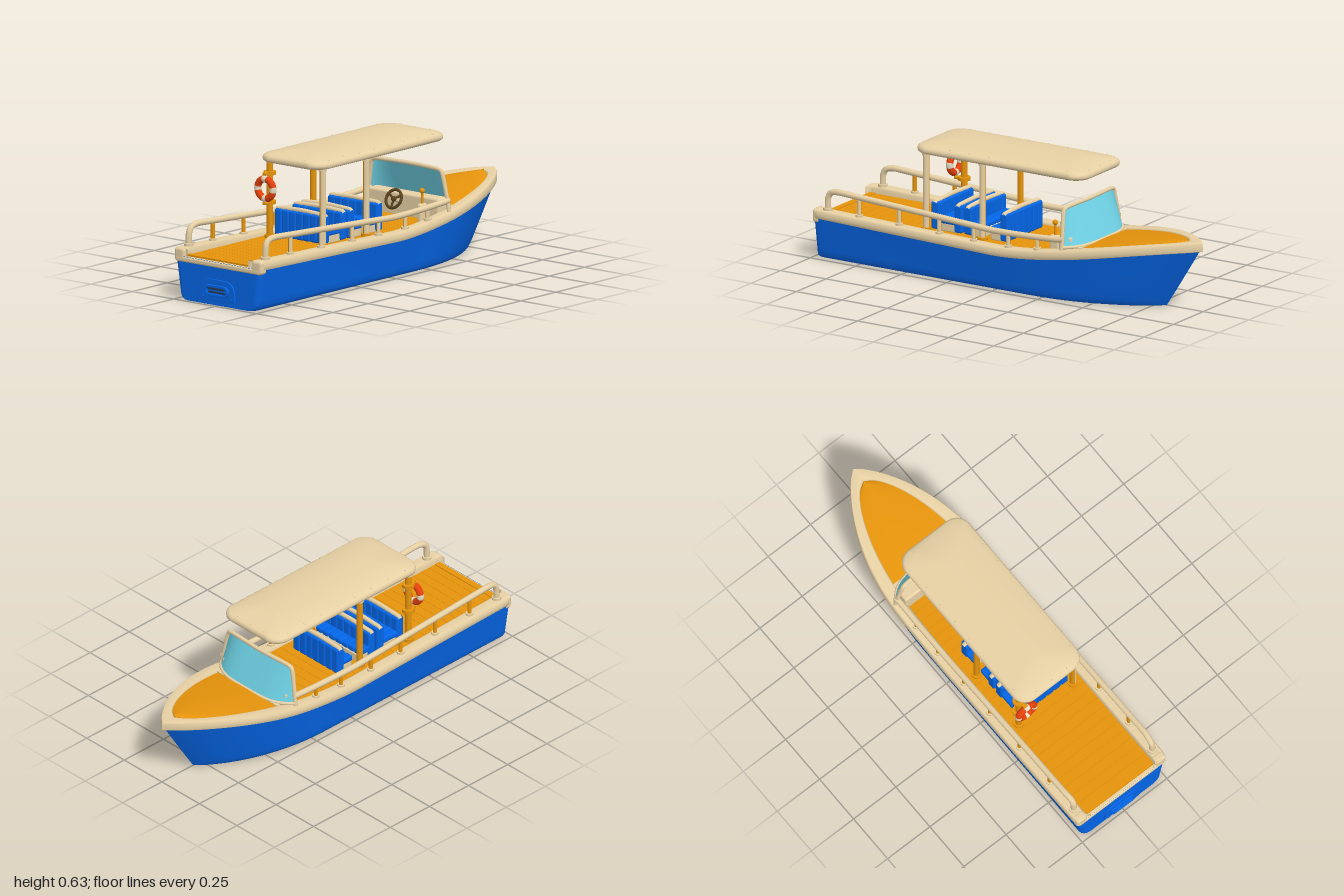
import * as THREE from 'three';
import { mergeVertices } from 'three/addons/utils/BufferGeometryUtils.js';
import { RoundedBoxGeometry } from 'three/addons/geometries/RoundedBoxGeometry.js';

const mat = (name, color) => {
  const m = new THREE.MeshStandardMaterial({ color, side: THREE.DoubleSide });
  m.name = name;
  return m;
};
const V = (x, y, z) => new THREE.Vector3(x, y, z);
const lerp = THREE.MathUtils.lerp;

// Smooth surface from a rule f(u, v) -> [x, y, z] on an integer grid
function grid(nu, nv, f) {
  const pos = [], idx = [];
  for (let i = 0; i <= nu; i++) for (let j = 0; j <= nv; j++) pos.push(...f(i, j));
  for (let i = 0; i < nu; i++) for (let j = 0; j < nv; j++) {
    const a = i * (nv + 1) + j, b = a + nv + 1;
    idx.push(a, b, a + 1, b, b + 1, a + 1);
  }
  let g = new THREE.BufferGeometry();
  g.setAttribute('position', new THREE.Float32BufferAttribute(pos, 3));
  g.setIndex(idx);
  g = mergeVertices(g, 1e-5);
  g.computeVertexNormals();
  return g;
}

// Hull lines: sheer height along z, and relative beam along t (0 stern, 1 bow)
const STERN = 0.98;
const sheer = z => z > 0 ? 0.218 + 0.024 * z : 0.218 + 0.112 * THREE.MathUtils.smoothstep(-z, 0, 1);
const stations = [0, 0.001, 0.004, 0.008, 0.015];
for (let i = 1; i <= 60; i++) stations.push(0.015 + 0.985 * i / 60);
const beam = (t, power = 0.85) => {
  const q = Math.max(0, (t - 0.65) / 0.35), e = Math.max(0, 1 - t / 0.015);
  return Math.max(0, 1 - q ** 2.2) ** power * (1 - 0.1 * (1 - Math.sqrt(1 - e * e)));
};

export function createModel() {
  const blue = mat('hull blue', 0x0469ee), cream = mat('cream', 0xecd5a8), wood = mat('deck wood', 0xe5930b),
    red = mat('buoy red', 0xe8420c), white = mat('buoy white', 0xf2e6cc), glass = mat('glass', 0x74dcf0),
    brown = mat('bottom brown', 0x5a4220), dark = mat('dark slate', 0x2b3a4c);
  const boat = new THREE.Group();
  boat.name = 'boat';
  const add = (name, geo, m, x = 0, y = 0, z = 0, parent = boat) => {
    const mesh = new THREE.Mesh(geo, m);
    mesh.name = name;
    mesh.position.set(x, y, z);
    parent.add(mesh);
    return mesh;
  };
  const rbox = (w, h, d, r) => new RoundedBoxGeometry(w, h, d, 3, r);
  const cyl = (r, h, n = 16) => new THREE.CylinderGeometry(r, r, h, n);
  const tube = (pts, r, n = 48) => new THREE.TubeGeometry(new THREE.CatmullRomCurve3(pts, false, 'catmullrom', 0.3), n, r, 10);

  // Hull sides: half section as [half width, height share], rounded at the chine
  const half = [[0.2, 0], [0.214, 0.012], [0.226, 0.05], [0.234, 0.12], [0.238, 0.24], [0.25, 0.6], [0.264, 1]];
  const hullPoint = (s, w, h, t) => {
    const z = lerp(STERN, -0.8 - 0.185 * h, t);
    return [s * w * beam(t), h * (sheer(z) - 0.038), z];
  };
  const last = stations.length - 1;
  const side = grid(last, half.length - 1, (i, j) => hullPoint(1, ...half[j], stations[i]));
  for (const s of [1, -1]) add('hullSide', side, blue).scale.x = s;
  add('hullBottom', grid(last, 1, (i, j) => hullPoint(j * 2 - 1, 0.2, 0, stations[i])), brown);
  const outline = [...half.map(([w, h]) => hullPoint(1, w, h, 0)), ...half.map(([w, h]) => hullPoint(-1, w, h, 0)).reverse()];
  add('transom', new THREE.ShapeGeometry(new THREE.Shape(outline.map(p => new THREE.Vector2(p[0], p[1])))), blue, 0, 0, STERN);

  // Gunwale: rounded section as [inset share, height], swept from stern to bow
  const rim = [[0.05, -0.044], [-0.06, -0.04], [-0.09, -0.024], [-0.05, -0.008], [0.06, 0], [0.85, 0], [1, -0.007], [1, -0.04]];
  const rimGeo = grid(last, rim.length - 1, (i, j) => {
    const [a, dy] = rim[j], t = stations[i], inset = Math.max(0, a), z = lerp(STERN, -1 + 0.08 * inset, t);
    return [(0.263 - 0.06 * a) * beam(t, 0.85 - 0.2 * inset), sheer(z) + dy, z];
  });
  for (const s of [1, -1]) {
    add('gunwale', rimGeo, cream).scale.x = s;
    add('sternCorner', rbox(0.062, 0.066, 0.045, 0.015), cream, s * 0.233, 0.21, 0.961);
  }
  add('sternSill', rbox(0.51, 0.028, 0.042, 0.01), cream, 0, 0.19, 0.963);
  add('deckLip', new THREE.BoxGeometry(0.4, 0.013, 0.03), wood, 0, 0.206, 0.95);

  // Aft deck of cross planks, and the raised foredeck
  add('deckBase', new THREE.BoxGeometry(0.41, 0.02, 1.4), wood, 0, 0.192, 0.25);
  for (let i = 0; i < 28; i++) add('deckPlank', new THREE.BoxGeometry(0.41, 0.006, 0.0485), wood, 0, 0.205, 0.924 - i * 0.05);
  add('foredeck', grid(24, 10, (i, j) => {
    const t = lerp(0.756, 1, i / 24), z = lerp(STERN, -0.92, t), v = 1 - j / 5;
    return [v * 0.207 * beam(t, 0.65), sheer(z) - 0.006 + 0.01 * (1 - v * v), z];
  }), wood);
  add('bulkhead', new THREE.BoxGeometry(0.4, 0.07, 0.02), cream, 0, 0.232, -0.447);
  add('dashboard', rbox(0.43, 0.115, 0.07, 0.012), cream, 0, 0.256, -0.377);

  // Wrapped windscreen with frame
  const low = s => [0.245 * s, 0.268, -0.385 - 0.075 * (1 - s ** 4)];
  const high = s => [0.205 * s, 0.448, -0.37 - 0.012 * (1 - s ** 4)];
  add('windscreen', grid(24, 1, (i, j) => (j ? high : low)(i / 12 - 1)), glass);
  const bar = f => Array.from({ length: 13 }, (_, i) => V(...f(i / 6 - 1)));
  add('windscreenSill', tube(bar(low), 0.008), cream);
  add('windscreenHoop', tube([V(-0.25, 0.23, -0.38), V(-0.24, 0.29, -0.38), V(-0.215, 0.422, -0.371), V(-0.19, 0.447, -0.372),
    V(0, 0.45, -0.382), V(0.19, 0.447, -0.372), V(0.215, 0.422, -0.371), V(0.24, 0.29, -0.38), V(0.25, 0.23, -0.38)], 0.01, 80), cream);

  // Helm: steering wheel and throttle
  const helm = new THREE.Group();
  helm.name = 'steeringWheel';
  helm.position.set(-0.02, 0.29, -0.3);
  helm.rotation.x = -0.45;
  boat.add(helm);
  add('wheelRim', new THREE.TorusGeometry(0.044, 0.007, 10, 32), brown, 0, 0, 0, helm);
  add('wheelHub', new THREE.SphereGeometry(0.013, 14, 10), brown, 0, 0, 0, helm);
  add('wheelColumn', cyl(0.009, 0.08), cream, 0, 0, -0.04, helm).rotation.x = Math.PI / 2;
  for (let i = 0; i < 3; i++) {
    const a = Math.PI / 6 + i * Math.PI * 2 / 3;
    add('wheelSpoke', new THREE.BoxGeometry(0.044, 0.009, 0.006), brown, 0.022 * Math.cos(a), 0.022 * Math.sin(a), 0, helm).rotation.z = a;
  }
  add('throttleBase', rbox(0.028, 0.09, 0.05, 0.01), cream, 0.16, 0.25, -0.29);
  add('throttleLever', cyl(0.006, 0.06), wood, 0.16, 0.325, -0.29);
  add('throttleKnob', new THREE.SphereGeometry(0.013, 14, 10), wood, 0.16, 0.355, -0.29);

  // Facing pairs of padded benches with ribbed backs and cream piping
  const bench = (z, dir) => {
    const g = new THREE.Group();
    g.name = 'bench';
    g.position.z = z;
    boat.add(g);
    add('benchBase', rbox(0.28, 0.045, 0.08, 0.008), cream, 0, 0.228, dir * 0.04, g);
    for (let i = 0; i < 7; i++) {
      const x = (i - 3) * 0.0425;
      add('backPad', rbox(0.0435, 0.132, 0.044, 0.01), blue, x, 0.278, 0, g);
      add('seatPad', rbox(0.0435, 0.03, 0.065, 0.01), blue, x, 0.26, dir * 0.045, g);
    }
    add('backPiping', tube([V(-0.147, 0.335, 0), V(-0.135, 0.344, 0), V(0, 0.35, 0), V(0.135, 0.344, 0), V(0.147, 0.335, 0)], 0.011), cream, 0, 0, 0, g);
  };
  bench(0.38, -1);
  bench(0.255, 1);
  bench(0.2, -1);
  bench(0, 1);

  // Canopy: stacked rounded-rectangle rings as [inset, height], closed at both ends
  const rings = [[0.19, 0.58], [0.03, 0.578], [0.01, 0.575], [0.002, 0.581], [0, 0.591], [0.003, 0.602], [0.012, 0.609],
    [0.04, 0.615], [0.08, 0.622], [0.13, 0.627], [0.19, 0.629]];
  add('canopy', grid(rings.length - 1, 64, (i, j) => {
    const [inset, y] = rings[i], r = Math.max(0, 0.075 - inset * 0.395);
    const a = (j % 64) / 64 * Math.PI * 2 + Math.PI / 64, c = Math.cos(a), s = Math.sin(a);
    const w = Math.max(0, 0.19 - inset - r), d = Math.max(0, 0.468 - inset - r);
    return [Math.sign(c) * w + r * c, y, 0.016 + Math.sign(s) * d + r * s];
  }), cream);
  const rivet = new THREE.SphereGeometry(0.004, 8, 6);
  for (const s of [1, -1]) {
    for (let i = 0; i < 8; i++) add('canopyRivet', rivet, cream, s * 0.17, 0.611, 0.39 - i * 0.107);
    for (const x of [-0.09, 0, 0.09]) add('canopyRivet', rivet, cream, x, 0.611, 0.016 + s * 0.447);
  }

  // Upright whose inboard half is wood; on the right side it is wood all round
  const upright = (name, r, h, s, x, y, z) => {
    add(name + 'Outer', new THREE.CylinderGeometry(r, r, h, 8, 1, false, 0, Math.PI), s > 0 ? cream : wood, x, y, z);
    add(name + 'Inner', new THREE.CylinderGeometry(r, r, h, 8, 1, false, Math.PI, Math.PI), wood, x, y, z);
  };

  // Canopy posts, and side rails with stanchions
  const railY = z => z > 0 ? 0.288 + 0.055 * z : 0.288 + 0.1 * z * z;
  for (const s of [1, -1]) {
    for (const z of [0.42, 0.11]) {
      upright('canopyPost', 0.015, 0.375, s, s * 0.16, 0.392, z);
      add('postFoot', cyl(0.025, 0.014), wood, s * 0.16, 0.214, z);
      add('postHead', cyl(0.02, 0.012), cream, s * 0.16, 0.571, z);
    }
    const pts = [V(s * 0.232, 0.235, 0.915), V(s * 0.232, 0.3, 0.912), V(s * 0.232, 0.327, 0.895)];
    for (let z = 0.85; z > -0.4; z -= 0.12) pts.push(V(s * 0.236, railY(z), z));
    pts.push(V(s * 0.238, 0.305, -0.385));
    add('sideRail', tube(pts, 0.0145, 90), cream);
    add('railFoot', cyl(0.022, 0.014), cream, s * 0.232, 0.245, 0.915);
    for (const z of [0.74, 0.52, 0.3, 0.11, -0.08, -0.24]) {
      const y0 = sheer(z), h = railY(z) - y0;
      upright('railStanchion', 0.01, h, s, s * 0.234, y0 + h / 2, z);
      add('stanchionFoot', cyl(0.018, 0.012), cream, s * 0.234, y0 + 0.004, z);
    }
  }

  // Lifebuoy: alternating red and white arcs, hung from collars on a post
  const buoy = new THREE.Group();
  buoy.name = 'lifebuoy';
  buoy.position.set(-0.15, 0.445, 0.463);
  boat.add(buoy);
  const band = 0.46;
  for (let i = 0; i < 4; i++) {
    const a = i * Math.PI / 2;
    add('buoyBand', new THREE.TorusGeometry(0.046, 0.0168, 14, 6, band), white, 0, 0, 0, buoy).rotation.z = a - band / 2;
    add('buoyArc', new THREE.TorusGeometry(0.046, 0.0165, 14, 14, Math.PI / 2 - band), red, 0, 0, 0, buoy).rotation.z = a + band / 2;
  }
  for (const y of [0.375, 0.513]) {
    add('buoyCollar', cyl(0.03, 0.016), wood, -0.16, y, 0.42);
    add('buoyHook', rbox(0.022, 0.014, 0.045, 0.004), wood, -0.155, y, 0.445);
  }

  // Transom vent: arched plate, oval surround, slots and bolts
  const arch = new THREE.Shape();
  arch.moveTo(-0.105, 0.024).lineTo(0.105, 0.024).lineTo(0.102, 0.07);
  arch.bezierCurveTo(0.098, 0.105, 0.075, 0.12, 0.04, 0.12).lineTo(-0.04, 0.12);
  arch.bezierCurveTo(-0.075, 0.12, -0.098, 0.105, -0.102, 0.07);
  add('ventPlate', new THREE.ExtrudeGeometry(arch, { depth: 0.005, bevelSize: 0.002, bevelThickness: 0.002, bevelSegments: 2 }), blue, 0, 0, 0.98);
  const oval = (w, h) => {
    const r = h / 2, sh = new THREE.Shape();
    sh.absarc(w / 2 - r, 0, r, -Math.PI / 2, Math.PI / 2).absarc(r - w / 2, 0, r, Math.PI / 2, Math.PI * 1.5);
    return sh;
  };
  const surround = oval(0.142, 0.05);
  surround.holes.push(oval(0.12, 0.034));
  add('ventSurround', new THREE.ExtrudeGeometry(surround, { depth: 0.009, bevelSize: 0.002, bevelThickness: 0.002, bevelSegments: 2 }), blue, 0, 0.07, 0.987);
  for (const y of [0.062, 0.078]) add('ventSlot', new THREE.ExtrudeGeometry(oval(0.108, 0.008), { depth: 0.003, bevelEnabled: false }), dark, 0, y, 0.986);
  for (const s of [1, -1]) add('ventBolt', cyl(0.007, 0.008), blue, s * 0.085, 0.038, 0.988).rotation.x = Math.PI / 2;
  return boat;
}
